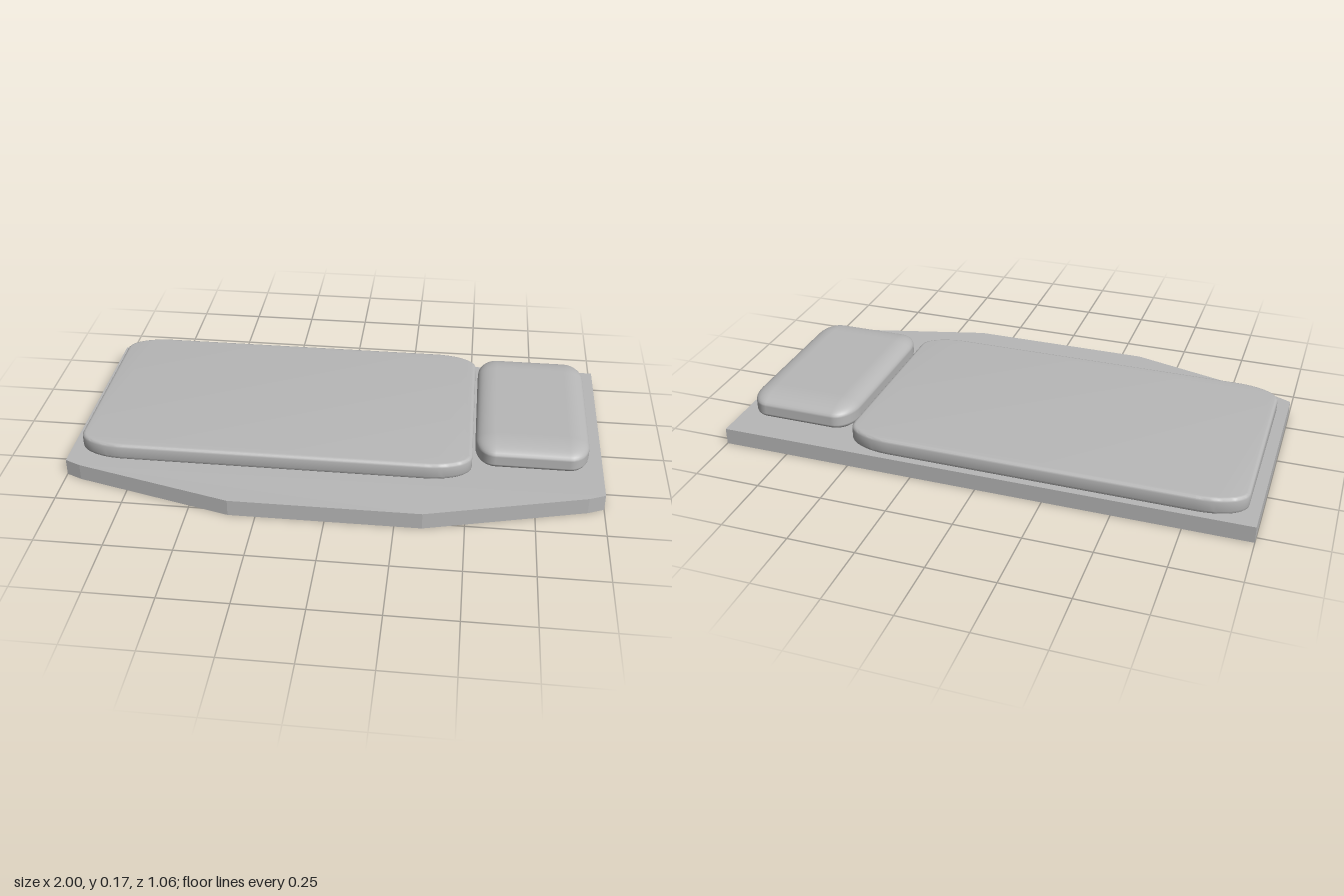
import * as THREE from 'three';
import { toCreasedNormals } from 'three/addons/utils/BufferGeometryUtils.js';
import { RoundedBoxGeometry } from 'three/addons/geometries/RoundedBoxGeometry.js';

// Slab lying flat: the outline is drawn in x and -z, then raised along y
function slab(shape, options) {
  const geometry = new THREE.ExtrudeGeometry(shape, options);
  geometry.rotateX(-Math.PI / 2);
  return geometry;
}

// Rectangle with elliptical corners, centred on the origin
function roundedRect(w, d, rx, ry) {
  const shape = new THREE.Shape();
  const x = w / 2 - rx, y = d / 2 - ry;
  [[x, y], [-x, y], [-x, -y], [x, -y]].forEach(([cx, cy], i) => {
    shape.absellipse(cx, cy, rx, ry, i * Math.PI / 2, (i + 1) * Math.PI / 2, false, 0);
  });
  shape.closePath();
  return shape;
}

// Box with a different edge radius along each axis
function softBox(size, radii) {
  const dims = size.map((s, i) => s / radii[i]);
  return new RoundedBoxGeometry(...dims, 5, 1).scale(...radii);
}

export function createModel() {
  const group = new THREE.Group();
  const grey = new THREE.MeshStandardMaterial({ color: 0xb8b8b8 });
  grey.name = 'grey';

  function add(name, geometry, x, y, z) {
    const mesh = new THREE.Mesh(geometry, grey);
    mesh.name = name;
    mesh.position.set(x, y, z);
    group.add(mesh);
  }

  // Base board with a tapered front edge
  const half = [[1, 0.53], [1, -0.345], [0.94, -0.372], [0.35, -0.53]];
  const outline = [...half, ...half.map(([x, y]) => [-x, y]).reverse()];
  const board = new THREE.Shape(outline.map(([x, y]) => new THREE.Vector2(x, y)));
  add('baseBoard', slab(board, { depth: 0.063, bevelEnabled: false }), 0, 0, 0);

  // Wide thin pad with softened edges
  const bevel = 0.013;
  const pad = slab(roundedRect(1.475 - 2 * bevel, 0.835 - 2 * bevel, 0.16, 0.075), {
    depth: 0.038, bevelThickness: bevel, bevelSize: bevel, bevelSegments: 3, curveSegments: 8,
  });
  add('largePad', toCreasedNormals(pad, 0.6), -0.222, 0.065 + bevel, -0.095);

  // Narrow, thicker cushion beside it
  add('smallCushion', softBox([0.42, 0.103, 0.7], [0.075, 0.036, 0.11]), 0.735, 0.122, -0.095);

  return group;
}
